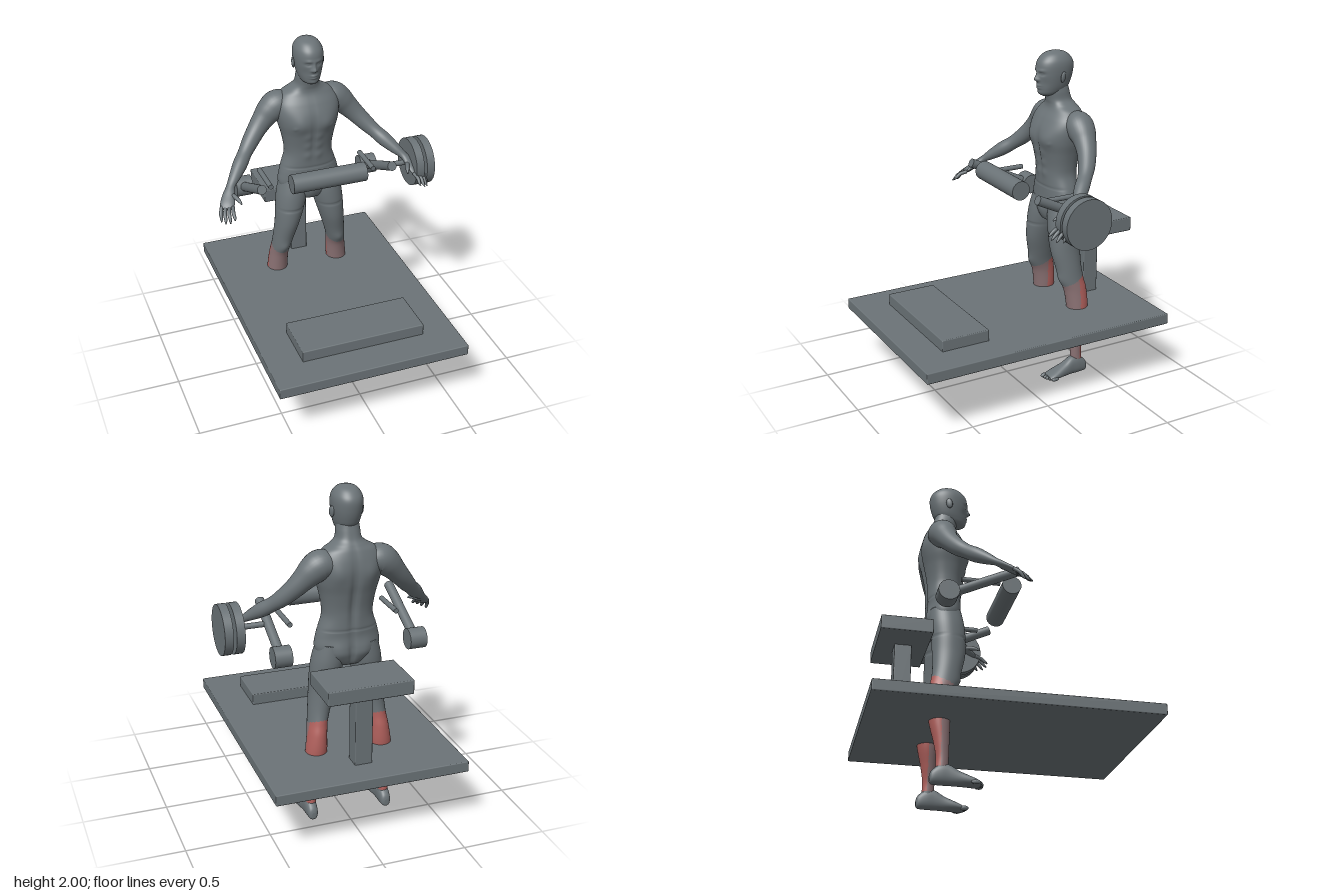
import * as THREE from 'three';
import { RoundedBoxGeometry } from 'three/addons/geometries/RoundedBoxGeometry.js';

const material = (name, color) => {
  const m = new THREE.MeshStandardMaterial({ color });
  m.name = name;
  return m;
};

// Smooth in-between rows through a short list of sections
function resample(rows, count) {
  const out = [], last = rows.length - 1;
  for (let i = 0; i <= count; i++) {
    const f = (i / count) * last, k = Math.min(Math.floor(f), last - 1), t = f - k;
    const at = (n) => rows[Math.max(0, Math.min(last, n))];
    const [a, b, c, d] = [at(k - 1), at(k), at(k + 1), at(k + 2)];
    out.push(b.map((v, j) => v + 0.5 * t * (c[j] - a[j] +
      t * (2 * a[j] - 5 * v + 4 * c[j] - d[j] + t * (3 * (v - c[j]) + d[j] - a[j])))));
  }
  return out;
}

// Skin over closed rings of points, with both ends capped
function skin(rings) {
  const n = rings[0].length, pos = rings.flat().flatMap((p) => [p.x, p.y, p.z]), idx = [];
  for (let i = 0; i < rings.length - 1; i++) {
    for (let j = 0; j < n; j++) {
      const a = i * n + j, b = i * n + ((j + 1) % n);
      idx.push(a, b, b + n, a, b + n, a + n);
    }
  }
  const top = (rings.length - 1) * n;
  for (let j = 1; j < n - 1; j++) idx.push(0, j + 1, j, top, top + j, top + j + 1);
  const g = new THREE.BufferGeometry();
  g.setAttribute('position', new THREE.Float32BufferAttribute(pos, 3));
  g.setIndex(idx);
  g.computeVertexNormals();
  return g;
}

// Upright body from rows [y, centre x, half width, front z, back z];
// bumps [side, x, y, spread x, spread y, amount] model the surface
function body(rows, { count = 60, seg = 40, power = 1, bumps = [] } = {}) {
  const round = (v) => Math.sign(v) * Math.abs(v) ** power;
  return skin(resample(rows, count).map(([y, cx, rx, zf, zb]) =>
    Array.from({ length: seg }, (_, j) => {
      const a = (j / seg) * Math.PI * 2, s = Math.sin(a), c = Math.cos(a);
      const x = rx * round(s);
      let z = (zf + zb) / 2 + ((zf - zb) / 2) * round(c);
      for (const [side, bx, by, sx, sy, amount] of bumps) {
        const w = Math.max(0, c * side) ** 0.5;
        z += side * amount * w * Math.exp(-(((x - bx) / sx) ** 2) - ((y - by) / sy) ** 2);
      }
      return new THREE.Vector3(cx + x, y, z);
    })));
}

// Limb along a path of [x, y, z, radius, flatness]
function limb(rows, count = 12, seg = 14) {
  const r = resample(rows, count), P = r.map((p) => new THREE.Vector3(p[0], p[1], p[2]));
  const up = new THREE.Vector3(0, 1, 0);
  return skin(P.map((p, i) => {
    const t = P[Math.min(i + 1, count)].clone().sub(P[Math.max(i - 1, 0)]).normalize();
    const e1 = up.clone().cross(t).normalize(), e2 = t.clone().cross(e1);
    return Array.from({ length: seg }, (_, j) => {
      const a = (j / seg) * Math.PI * 2;
      return p.clone().addScaledVector(e1, r[i][3] * Math.cos(a))
        .addScaledVector(e2, r[i][3] * r[i][4] * Math.sin(a));
    });
  }));
}

// Sort triangles into material groups by their centre
function paint(g, pick, kinds) {
  const p = g.attributes.position, idx = g.index.array, lists = Array.from({ length: kinds }, () => []);
  for (let i = 0; i < idx.length; i += 3) {
    const t = [idx[i], idx[i + 1], idx[i + 2]];
    const mean = (f) => (f(t[0]) + f(t[1]) + f(t[2])) / 3;
    lists[pick(mean((k) => p.getY(k)), mean((k) => p.getZ(k)))].push(...t);
  }
  g.setIndex(lists.flat());
  let start = 0;
  lists.forEach((l, k) => { g.addGroup(start, l.length, k); start += l.length; });
  return g;
}

const both = (side, x, ...rest) => [[side, x, ...rest], [side, -x, ...rest]];

export function createModel() {
  const model = new THREE.Group(), figure = new THREE.Group();
  model.name = 'exerciseMachineWithFigure';
  figure.name = 'figure';
  figure.position.x = -0.02;
  model.add(figure);
  const grey = material('slate grey', 0x6b7377);
  const shin = material('dusty pink', 0x8a7173);
  const calf = material('muscle red', 0xb0605c);
  const add = (parent, name, geometry, mat = grey) => {
    const m = new THREE.Mesh(geometry, mat);
    m.name = name;
    parent.add(m);
    return m;
  };

  // Machine: boxes given by their limits
  const box = (name, x0, x1, y0, y1, z0, z1) =>
    add(model, name, new RoundedBoxGeometry(x1 - x0, y1 - y0, z1 - z0, 2, 0.006))
      .position.set((x0 + x1) / 2, (y0 + y1) / 2, (z0 + z1) / 2);
  box('platform', -0.6, 0.555, 0.372, 0.438, -0.81, 0.802);
  box('footBlock', -0.397, 0.353, 0.432, 0.506, 0.31, 0.61);
  box('seat', -0.275, 0.23, 0.885, 0.97, -0.74, -0.44);
  box('seatPost', -0.075, 0.03, 0.43, 0.89, -0.635, -0.535);

  // Round bars between two points
  const bar = (name, a, b, r) => {
    const A = new THREE.Vector3(...a), B = new THREE.Vector3(...b), d = B.clone().sub(A);
    const m = add(model, name, new THREE.CylinderGeometry(r, r, d.length(), 40));
    m.position.copy(A).add(B).multiplyScalar(0.5);
    m.quaternion.setFromUnitVectors(new THREE.Vector3(0, 1, 0), d.normalize());
  };
  bar('rollerPad', [-0.25, 1.255, 0.02], [0.205, 1.255, 0.02], 0.057);
  for (const x of [-0.427, 0.383]) {
    bar('lever', [x, 1.06, -0.39], [x, 1.252, 0.015], 0.028);
    bar('leverRoller', [x - 0.051, 1.063, -0.392], [x + 0.051, 1.063, -0.392], 0.061);
  }
  for (const x of [-0.345, 0.3]) bar('guideRod', [x, 1.205, -0.3], [x, 1.205, -0.075], 0.015);
  bar('weightBar', [0.385, 1.168, -0.147], [0.66, 1.168, -0.147], 0.017);
  for (const x of [0.556, 0.624]) bar('weightDisc', [x, 1.168, -0.147], [x + 0.05, 1.168, -0.147], 0.148);

  // Torso and neck
  add(figure, 'torso', body([
    [0.945, 0, 0.02, -0.32, -0.36], [0.97, 0, 0.09, -0.27, -0.42], [1.03, 0, 0.17, -0.252, -0.447],
    [1.08, 0, 0.193, -0.25, -0.45], [1.14, 0, 0.184, -0.25, -0.448], [1.19, 0, 0.17, -0.25, -0.452],
    [1.26, 0, 0.148, -0.246, -0.455], [1.32, 0, 0.15, -0.242, -0.46], [1.4, 0, 0.165, -0.228, -0.475],
    [1.47, 0, 0.184, -0.218, -0.49], [1.54, 0, 0.195, -0.222, -0.495], [1.6, 0, 0.19, -0.248, -0.488],
    [1.65, 0, 0.155, -0.28, -0.472], [1.68, 0, 0.105, -0.288, -0.455], [1.71, 0, 0.073, -0.284, -0.435],
    [1.76, 0, 0.066, -0.275, -0.42], [1.8, 0, 0.06, -0.28, -0.41],
  ], { count: 130, seg: 80, power: 0.88, bumps: [
    ...both(1, 0.085, 1.485, 0.06, 0.05, 0.016), ...both(1, 0.114, 1.468, 0.01, 0.01, 0.006),
    ...[1.27, 1.335, 1.4].flatMap((y) => both(1, 0.035, y, 0.022, 0.024, 0.005)),
    [1, 0, 1.42, 0.012, 0.14, -0.008], [1, 0, 1.03, 0.04, 0.05, 0.012],
    [-1, 0, 1.37, 0.02, 0.22, -0.02], ...both(-1, 0.1, 1.53, 0.05, 0.06, 0.012),
    ...both(-1, 0.075, 1.06, 0.055, 0.06, 0.014), [-1, 0, 1.05, 0.012, 0.07, -0.014],
    [1, 0, 1.187, 1, 0.005, -0.004], [-1, 0, 1.187, 1, 0.005, -0.004],
  ] }));

  // Head with a modelled face
  add(figure, 'head', body([
    [1.735, 0, 0.022, -0.25, -0.33], [1.75, 0, 0.05, -0.23, -0.37], [1.78, 0, 0.066, -0.222, -0.41],
    [1.82, 0, 0.077, -0.217, -0.43], [1.87, 0, 0.085, -0.214, -0.443], [1.92, 0, 0.086, -0.216, -0.446],
    [1.955, 0, 0.076, -0.233, -0.43], [1.985, 0, 0.05, -0.27, -0.395], [2.0, 0, 0.003, -0.33, -0.336],
  ], { count: 90, seg: 88, power: 0.95, bumps: [
    [1, 0, 1.838, 0.012, 0.014, 0.02], [1, 0, 1.86, 0.009, 0.022, 0.011],
    ...both(1, 0.014, 1.834, 0.008, 0.008, 0.007), ...both(1, 0.03, 1.89, 0.025, 0.01, 0.005),
    ...both(1, 0.033, 1.871, 0.017, 0.01, -0.011), ...both(1, 0.033, 1.871, 0.01, 0.006, 0.007),
    [1, 0, 1.8, 0.022, 0.007, 0.008], [1, 0, 1.785, 0.02, 0.007, 0.008],
    [1, 0, 1.757, 0.025, 0.015, 0.005], ...both(1, 0.05, 1.815, 0.02, 0.03, -0.005),
  ] }));

  for (const s of [-1, 1]) {
    const side = s > 0 ? 'left' : 'right';
    const flip = (rows) => rows.map(([x, ...r]) => [x * s, ...r]);

    const ear = add(figure, side + 'Ear', new THREE.SphereGeometry(1, 16, 12));
    ear.scale.set(0.01, 0.033, 0.02);
    ear.position.set(s * 0.088, 1.853, -0.338);
    ear.rotation.set(-0.2, s * 0.35, 0);

    // Arm, palm, fingers and thumb
    add(figure, side + 'Arm', limb(flip([
      [0.1, 1.56, -0.39, 0.07, 1], [0.17, 1.577, -0.393, 0.085, 1], [0.22, 1.545, -0.39, 0.08, 1],
      [0.265, 1.5, -0.382, 0.066, 1], [0.315, 1.445, -0.363, 0.056, 1], [0.37, 1.385, -0.328, 0.049, 1],
      [0.415, 1.34, -0.288, 0.042, 1], [0.46, 1.298, -0.24, 0.043, 1], [0.51, 1.253, -0.187, 0.034, 0.95],
      [0.55, 1.216, -0.145, 0.026, 0.8], [0.575, 1.182, -0.102, 0.038, 0.48], [0.595, 1.152, -0.062, 0.043, 0.38],
      [0.607, 1.134, -0.038, 0.034, 0.3],
    ]), 72, 32));
    [[0.65, 1.075, -0.005], [0.633, 1.078, 0.028], [0.61, 1.087, 0.047], [0.582, 1.1, 0.048]].forEach(([x, y, z], i) => {
      const k = 0.033 - i * 0.022, bx = 0.599 + 0.89 * k, bz = -0.05 - 0.45 * k;
      add(figure, side + 'Finger', limb(flip([
        [bx, 1.143, bz, 0.011, 1], [(bx + x) / 2 + 0.004, (1.143 + y) / 2 + 0.009, (bz + z) / 2, 0.011, 1],
        [x * 0.8 + bx * 0.2, y * 0.8 + 0.2 * 1.143 + 0.003, z * 0.8 + bz * 0.2, 0.009, 1], [x, y, z, 0.003, 1],
      ])));
    });
    add(figure, side + 'Thumb', limb(flip([
      [0.562, 1.185, -0.115, 0.015, 1], [0.543, 1.183, -0.075, 0.014, 1],
      [0.53, 1.175, -0.04, 0.011, 1], [0.522, 1.162, -0.015, 0.004, 1],
    ])));

    // Leg: grey thigh and ankle, pink shin, red calf
    const leg = body([
      [0.05, 0.23, 0.03, -0.345, -0.415], [0.1, 0.229, 0.031, -0.34, -0.41], [0.16, 0.226, 0.034, -0.337, -0.408],
      [0.25, 0.217, 0.047, -0.334, -0.422], [0.35, 0.206, 0.06, -0.33, -0.445], [0.45, 0.199, 0.063, -0.325, -0.46],
      [0.55, 0.191, 0.058, -0.308, -0.455], [0.62, 0.181, 0.058, -0.28, -0.44], [0.7, 0.166, 0.065, -0.262, -0.43],
      [0.8, 0.146, 0.076, -0.24, -0.43], [0.9, 0.128, 0.089, -0.235, -0.435], [1.0, 0.11, 0.096, -0.24, -0.445],
      [1.1, 0.095, 0.085, -0.258, -0.443],
    ].map(([y, x, ...r]) => [y, x * s, ...r]), { count: 130, seg: 44, bumps: [
      [1, 0, 0.905, 1, 0.006, -0.006], [-1, 0, 0.905, 1, 0.006, -0.006], [1, 0, 0.63, 0.03, 0.03, 0.006],
    ] });
    add(figure, side + 'Leg', paint(leg, (y, z) =>
      (y < 0.1 || y > 0.585 - 0.45 * (z + 0.3) ? 0 : z > -0.385 ? 1 : 2), 3), [grey, shin, calf]);

    // Foot lofted from heel to ball, then toes
    const foot = body([
      [-0.443, 0.231, 0.012, -0.015, -0.05], [-0.43, 0.231, 0.028, -0.003, -0.08], [-0.385, 0.231, 0.035, 0, -0.115],
      [-0.335, 0.232, 0.036, 0, -0.115], [-0.285, 0.234, 0.04, 0, -0.085], [-0.23, 0.235, 0.048, 0, -0.06],
      [-0.19, 0.236, 0.05, 0, -0.042], [-0.165, 0.236, 0.042, -0.004, -0.028],
    ].map(([y, x, ...r]) => [y, x * s, ...r]), { count: 40, seg: 32, power: 0.85 });
    add(figure, side + 'Foot', foot.rotateX(Math.PI / 2));
    for (let i = 0; i < 5; i++) {
      const toe = add(figure, side + 'Toe', new THREE.SphereGeometry(1, 14, 10));
      toe.scale.set(i ? 0.0105 : 0.015, i ? 0.012 : 0.015, 0.027);
      toe.position.set(s * (0.2 + (i ? 0.005 : 0) + i * 0.0195), 0.015, -0.167 - i * i * 0.0018);
    }
  }
  return model;
}
